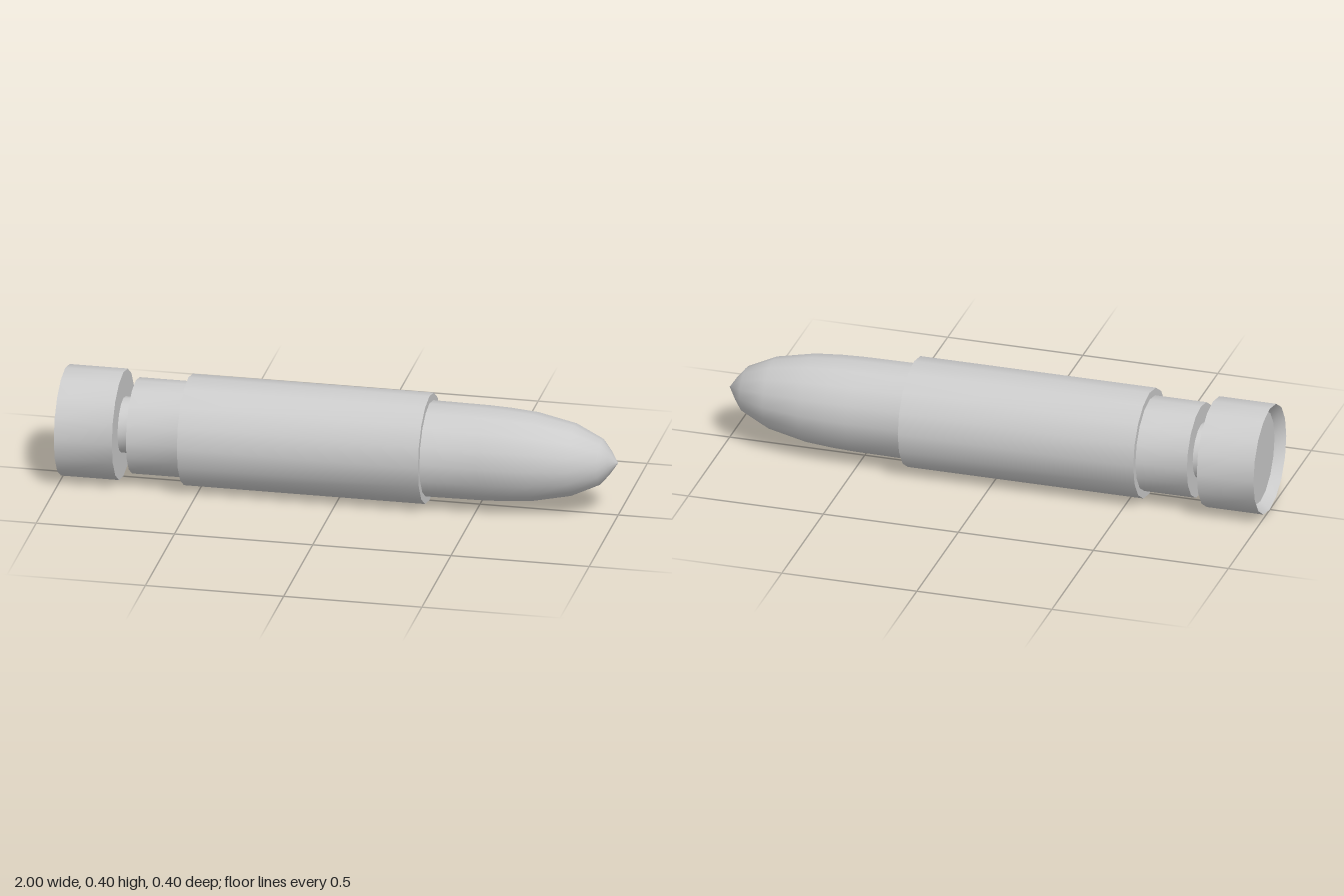
import * as THREE from 'three';
import { toCreasedNormals } from 'three/addons/utils/BufferGeometryUtils.js';

const SIDES = 16;
const AXIS_HEIGHT = 0.2;

export function createModel() {
  const group = new THREE.Group();
  group.name = 'cartridge';
  const material = new THREE.MeshStandardMaterial({ color: 0xcccccc });

  // Turns a profile of [x along the axis, radius] pairs around the x axis
  function turned(name, profile) {
    const points = profile.map(([x, r]) => new THREE.Vector2(r, x));
    const lathe = new THREE.LatheGeometry(points, SIDES);
    lathe.rotateZ(-Math.PI / 2);
    const mesh = new THREE.Mesh(toCreasedNormals(lathe, Math.PI / 5), material);
    mesh.name = name;
    mesh.position.y = AXIS_HEIGHT;
    group.add(mesh);
  }

  // Base with a shallow dished end
  turned('baseRim', [[-0.965, 0], [-0.965, 0.17], [-1, 0.198], [-0.79, 0.198], [-0.79, 0.1]]);

  // Narrow groove between base and collar
  turned('extractorGroove', [[-0.79, 0.1], [-0.745, 0.1]]);

  // Collar stepping up to the case
  turned('collar', [[-0.745, 0.1], [-0.745, 0.171], [-0.555, 0.171]]);

  // Main case
  turned('caseBody', [[-0.555, 0.171], [-0.555, 0.198], [0.317, 0.198], [0.317, 0.171]]);

  // Rounded nose
  turned('noseTip', [
    [0.317, 0.171], [0.52, 0.169], [0.6, 0.166], [0.7, 0.158],
    [0.84, 0.129], [0.94, 0.082], [0.97, 0.045], [1, 0],
  ]);

  return group;
}
